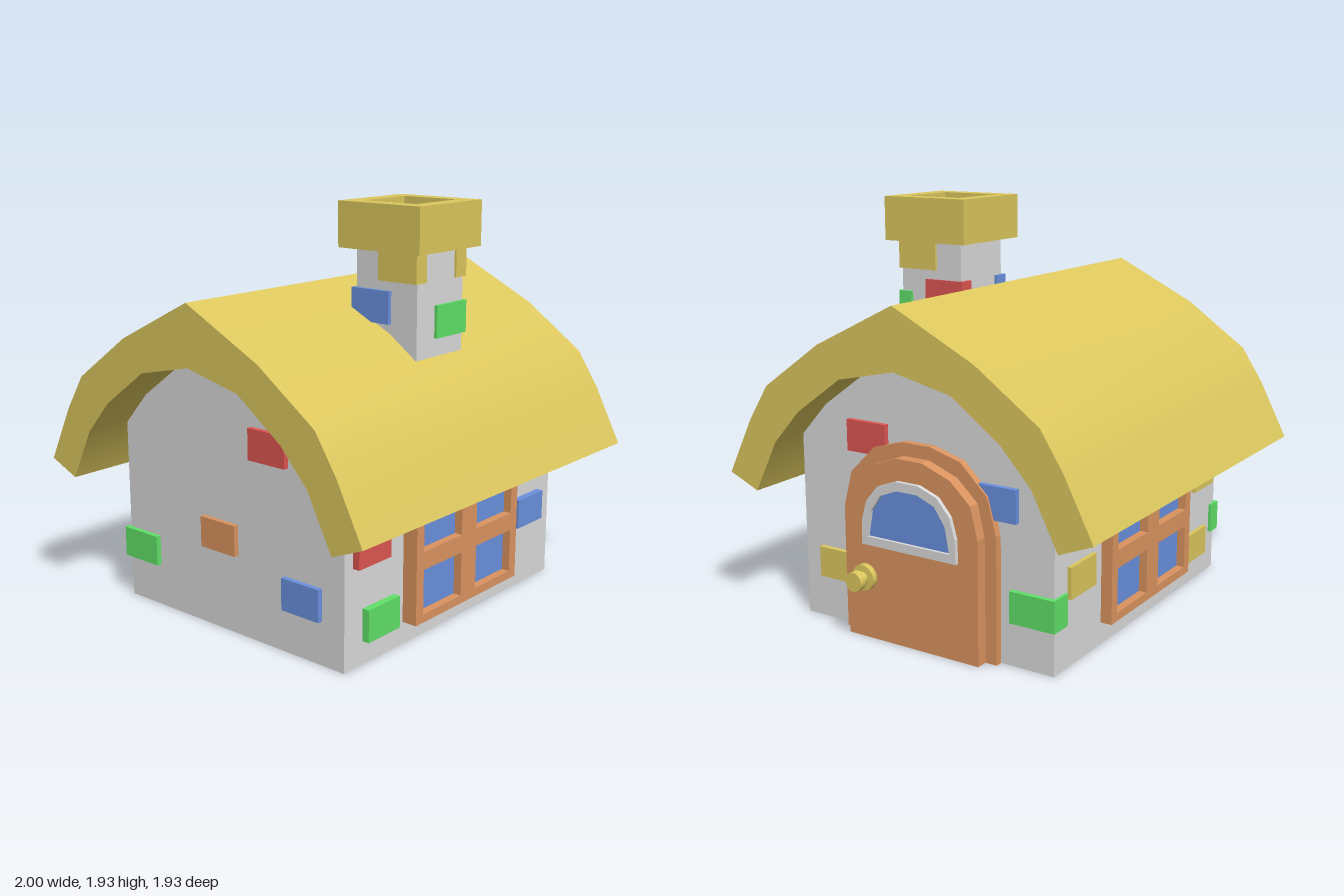
import * as THREE from 'three';
import { toCreasedNormals } from 'three/addons/utils/BufferGeometryUtils.js';

const mat = (name, color) => {
  const m = new THREE.MeshStandardMaterial({ color });
  m.name = name;
  return m;
};

export function createModel() {
  const model = new THREE.Group();
  model.name = 'cottage';

  const yellow = mat('straw yellow', 0xdcc75e);
  const grey = mat('wall grey', 0xdadada);
  const brown = mat('wood brown', 0xdb9460);
  const blue = mat('glass blue', 0x6a90de);
  const red = mat('brick red', 0xdd5652);
  const green = mat('brick green', 0x60e068);
  const soot = mat('soot grey', 0x6c6c6c);

  const add = (name, geo, material, parent = model) => {
    const mesh = new THREE.Mesh(geo, material);
    mesh.name = name;
    parent.add(mesh);
    return mesh;
  };
  // Box given by its limits on each axis
  const block = (name, material, [x0, x1], [y0, y1], [z0, z1], parent = model) => {
    const mesh = add(name, new THREE.BoxGeometry(x1 - x0, y1 - y0, z1 - z0), material, parent);
    mesh.position.set((x0 + x1) / 2, (y0 + y1) / 2, (z0 + z1) / 2);
    return mesh;
  };
  const rect = (x0, x1, y0, y1) =>
    [[x0, y0], [x1, y0], [x1, y1], [x0, y1]].map(p => new THREE.Vector2(...p));
  // Mirrors a half outline (from bottom to top) into a full one
  const mirror = half => [
    ...half, ...half.filter(p => p[0] !== 0).reverse().map(([z, y]) => [-z, y]),
  ].map(p => new THREE.Vector2(...p));
  // Outline in the z-y plane, extruded from x0 to x1
  const slab = (outline, x0, x1, hole) => {
    const shape = new THREE.Shape(outline);
    if (hole) shape.holes.push(new THREE.Path(hole));
    return new THREE.ExtrudeGeometry(shape, { depth: x1 - x0, bevelEnabled: false })
      .rotateY(Math.PI / 2).translate(x0, 0, 0);
  };

  // Walls, with gables that follow the underside of the roof
  const under = [[0.68, 0.873], [0.537, 1.03], [0.295, 1.205], [0, 1.27]];
  add('walls', slab(mirror([[0.68, 0], ...under]), -0.775, 0.815), grey);

  // Curved roof with a sharp ridge
  const outer = [[0.966, 0.69], [0.83, 0.957], [0.72, 1.128], [0.413, 1.345], [0, 1.55]];
  const flip = pts => pts.map(([z, y]) => [-z, y]);
  const roofOutline = [
    ...outer, ...flip(outer.slice(0, -1)).reverse(),
    [-0.806, 0.625], ...flip(under), ...under.slice(0, -1).reverse(), [0.806, 0.625],
  ].map(p => new THREE.Vector2(...p));
  add('roof', toCreasedNormals(slab(roofOutline, -1, 1), 0.7), yellow);

  // Arched door and its frame
  add('doorFrame', slab(mirror([[0.413, 0], [0.413, 0.58], [0.367, 0.75], [0.233, 0.88], [0.075, 0.925]]), 0.8, 0.85), brown);
  add('door', slab(mirror([[0.355, 0], [0.355, 0.57], [0.32, 0.715], [0.217, 0.81], [0.07, 0.865]]), 0.84, 0.905), brown);
  const glass = mirror([[0.222, 0.49], [0.2, 0.61], [0.145, 0.69], [0.055, 0.725]]);
  add('doorWindowFrame', slab(
    mirror([[0.255, 0.45], [0.252, 0.56], [0.225, 0.655], [0.16, 0.73], [0.06, 0.767]]), 0.9, 0.925, glass), grey);
  add('doorWindowGlass', slab(glass, 0.903, 0.91), blue);

  // Turned door knob
  const knob = [[0, 0], [0.06, 0], [0.06, 0.028], [0.03, 0.03], [0.03, 0.055], [0.045, 0.058], [0.045, 0.095], [0, 0.095]];
  const knobGeo = new THREE.LatheGeometry(knob.map(p => new THREE.Vector2(...p)), 16).rotateZ(-Math.PI / 2);
  add('doorKnob', toCreasedNormals(knobGeo, 0.7), yellow).position.set(0.905, 0.292, 0.25);

  // Four-pane windows on both long sides
  const buildWindow = name => {
    const g = new THREE.Group();
    g.name = name;
    const frame = new THREE.Shape(rect(-0.395, 0.395, 0.105, 0.69));
    for (const [x0, x1] of [[-0.343, -0.058], [0.058, 0.343]])
      for (const [y0, y1] of [[0.145, 0.355], [0.44, 0.65]]) {
        frame.holes.push(new THREE.Path(rect(x0, x1, y0, y1)));
        block('windowPane', blue, [x0, x1], [y0, y1], [0.028, 0.035], g);
      }
    add('windowFrame', new THREE.ExtrudeGeometry(frame, { depth: 0.075, bevelEnabled: false }), brown, g);
    model.add(g);
    return g;
  };
  buildWindow('frontWindow').position.set(0.02, 0, 0.68);
  const back = buildWindow('backWindow');
  back.position.set(0.02, 0, -0.66);
  back.rotation.y = Math.PI;

  // Chimney with a hollow cap
  block('chimneyStack', grey, [-0.15, 0.19], [1.24, 1.73], [0.22, 0.565]);
  const cap = new THREE.Shape(rect(-0.21, 0.25, -0.62, -0.16));
  cap.holes.push(new THREE.Path(rect(-0.13, 0.17, -0.535, -0.24)));
  add('chimneyCap', new THREE.ExtrudeGeometry(cap, { depth: 0.21, bevelEnabled: false })
    .rotateX(-Math.PI / 2).translate(0, 1.72, 0), yellow);
  block('chimneyFlue', soot, [-0.13, 0.17], [1.725, 1.83], [0.24, 0.535]);

  // Accent stones: material, x limits, y limits, z limits
  const F = [0.66, 0.715], B = [-0.70, -0.66], R = [0.79, 0.84], L = [-0.8, -0.75];
  const stones = [
    // front wall
    [red, [-0.72, -0.505], [0.46, 0.61], F],
    [green, [-0.655, -0.44], [0.11, 0.26], F],
    [blue, [0.495, 0.71], [0.315, 0.46], F],
    // back wall
    [yellow, [0.495, 0.71], [0.315, 0.46], B],
    [yellow, [-0.72, -0.505], [0.47, 0.615], B],
    [yellow, [-0.65, -0.435], [0.115, 0.26], B],
    // door gable
    [red, R, [0.84, 0.985], [0.18, 0.395]],
    [blue, R, [0.65, 0.8], [-0.505, -0.29]],
    [yellow, R, [0.205, 0.35], [0.365, 0.58]],
    [green, [0.73, 0.84], [0.205, 0.35], [-0.695, -0.47]],
    // plain gable
    [red, L, [0.85, 0.995], [0.15, 0.365]],
    [brown, L, [0.38, 0.525], [-0.16, 0.055]],
    [blue, L, [0.205, 0.355], [0.34, 0.555]],
    [green, [-0.8, -0.72], [0.205, 0.35], [-0.695, -0.47]],
    // chimney
    [yellow, [-0.17, -0.095], [1.585, 1.725], [0.36, 0.575]],
    [yellow, [0.125, 0.203], [1.585, 1.725], [0.36, 0.575]],
    [green, [-0.02, 0.203], [1.325, 1.475], [0.505, 0.58]],
    [red, [0.125, 0.203], [1.39, 1.54], [0.205, 0.42]],
    [blue, [-0.17, -0.095], [1.39, 1.54], [0.205, 0.42]],
  ];
  for (const [m, x, y, z] of stones) block('accentStone', m, x, y, z);

  return model;
}
